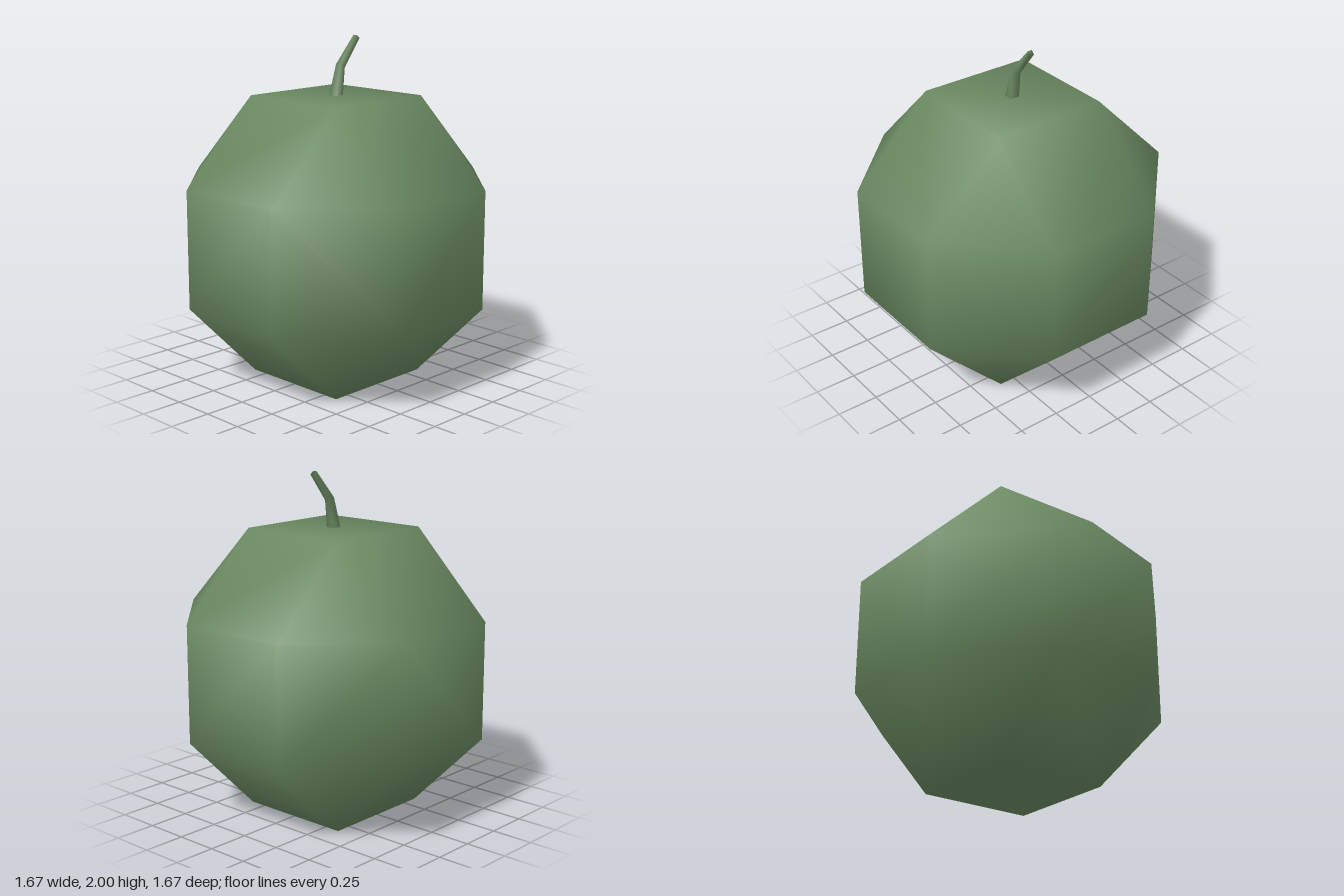
import * as THREE from 'three';
import { ConvexGeometry } from 'three/addons/geometries/ConvexGeometry.js';

const green = new THREE.MeshStandardMaterial({ color: 0x6b8a62 });
green.name = 'leaf green';

// Rounded fruit: 24 corners on a sphere, an octagon along each axis, smooth normals
function fruitGeometry(b) {
  const a = b * (Math.SQRT2 - 1);
  const points = [];
  for (const sx of [-1, 1]) for (const sy of [-1, 1]) for (const sz of [-1, 1]) {
    points.push(
      new THREE.Vector3(sx * b, sy * a, sz * a),
      new THREE.Vector3(sx * a, sy * b, sz * a),
      new THREE.Vector3(sx * a, sy * a, sz * b));
  }
  const geometry = new ConvexGeometry(points);
  const pos = geometry.attributes.position;
  const normal = geometry.attributes.normal;
  const v = new THREE.Vector3();
  for (let i = 0; i < pos.count; i++) {
    v.fromBufferAttribute(pos, i).normalize();
    normal.setXYZ(i, v.x, v.y, v.z);
  }
  return geometry;
}

// Bent stem: square sections [x, y, half width, tilt], tapering to a capped tip
function stemGeometry(sections) {
  const corners = [[-1, -1], [1, -1], [1, 1], [-1, 1]];
  const pos = [];
  const index = [];
  sections.forEach(([x, y, r, tilt], k) => {
    for (const [u, w] of corners) {
      pos.push(x + u * r * Math.cos(tilt), y - u * r * Math.sin(tilt), w * r);
    }
    if (k === 0) return;
    for (let i = 0; i < 4; i++) {
      const p = (k - 1) * 4 + i, q = (k - 1) * 4 + (i + 1) % 4;
      index.push(p, p + 4, q + 4, p, q + 4, q);
    }
  });
  const t = (sections.length - 1) * 4;
  index.push(t + 3, t + 2, t + 1, t + 3, t + 1, t);
  const geometry = new THREE.BufferGeometry();
  geometry.setAttribute('position', new THREE.Float32BufferAttribute(pos, 3));
  geometry.setIndex(index);
  geometry.computeVertexNormals();
  return geometry;
}

export function createModel() {
  const model = new THREE.Group();
  model.name = 'fruit';

  const body = new THREE.Mesh(fruitGeometry(0.833), green);
  body.name = 'body';
  body.position.y = 0.833;

  const stem = new THREE.Mesh(stemGeometry([
    [0, 1.66, 0.028, 0],
    [0.036, 1.832, 0.019, 0.5],
    [0.168, 1.991, 0.014, 0.7],
  ]), green);
  stem.name = 'stem';

  model.add(body, stem);
  return model;
}
